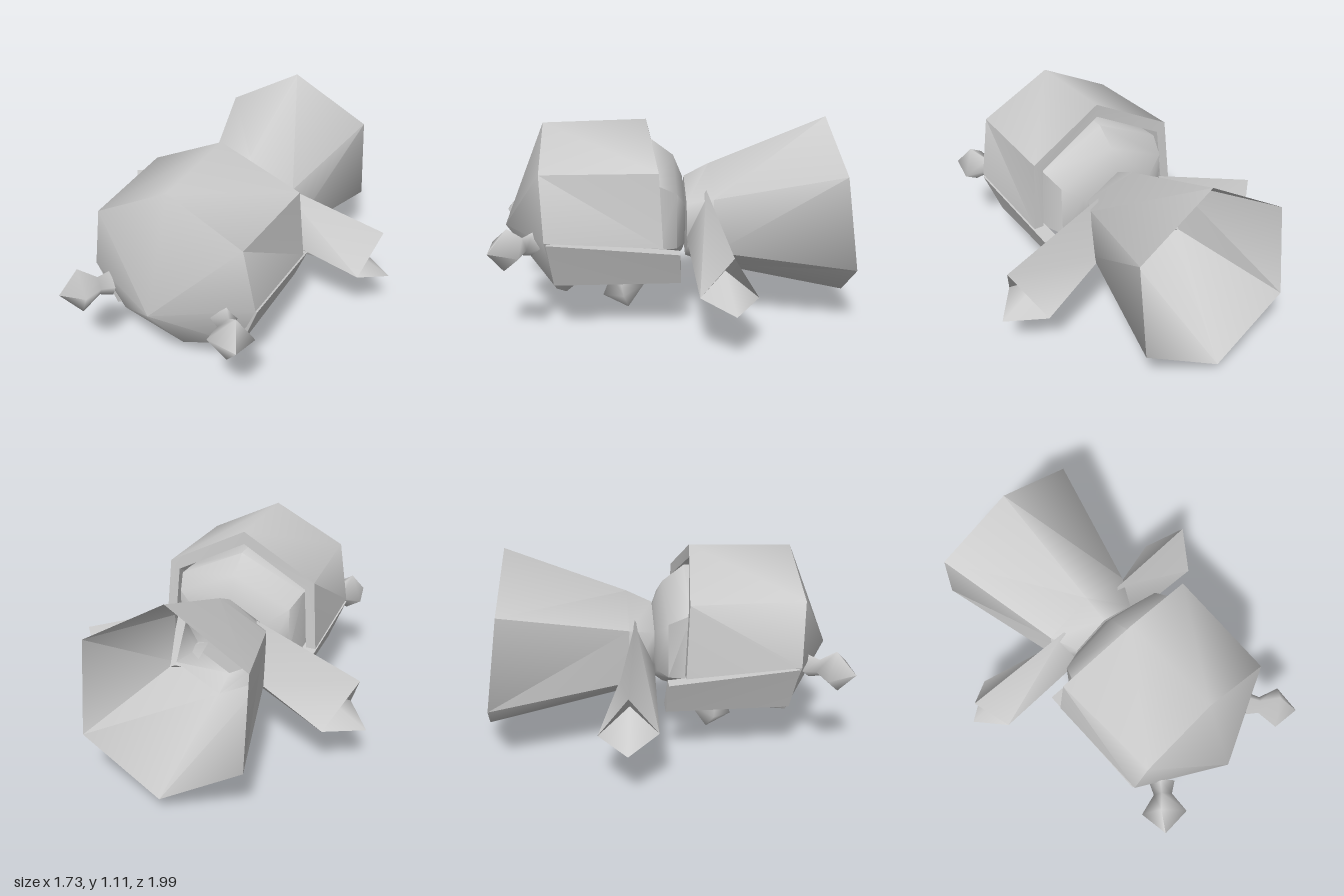
import * as THREE from 'three';
import { toCreasedNormals } from 'three/addons/utils/BufferGeometryUtils.js';

const grey = new THREE.MeshStandardMaterial({ color: 0xcccccc, side: THREE.DoubleSide });
grey.name = 'plain grey';

// Skins a list of cross-sections; tips (optional) close the ends with a fan
function loft(rings, { closed = true, startTip, endTip, crease = 1.0 } = {}) {
  const n = rings[0].length, pos = rings.flat(2), idx = [];
  const last = closed ? n : n - 1;
  for (let r = 0; r < rings.length - 1; r++) {
    for (let i = 0; i < last; i++) {
      const a = r * n + i, b = r * n + (i + 1) % n;
      idx.push(a, b, b + n, a, b + n, a + n);
    }
  }
  const fan = (tip, base, flip) => {
    const t = pos.length / 3;
    pos.push(...tip);
    for (let i = 0; i < last; i++) {
      const a = base + i, b = base + (i + 1) % n;
      idx.push(t, ...(flip ? [a, b] : [b, a]));
    }
  };
  if (startTip) fan(startTip, 0, false);
  if (endTip) fan(endTip, (rings.length - 1) * n, true);
  const g = new THREE.BufferGeometry();
  g.setAttribute('position', new THREE.Float32BufferAttribute(pos, 3));
  g.setIndex(idx);
  return toCreasedNormals(g, crease);
}

// Upright hexagon from its top, bottom and half width
function hex(zTop, zBottom, top, bottom, w) {
  const at = (x, t) => [x, top + (bottom - top) * t, zTop + (zBottom - zTop) * t];
  return [at(0, 0), at(-w, 0.25), at(-w, 0.75), at(0, 1), at(w, 0.75), at(w, 0.25)];
}

const mirrorX = (pts) => pts.map(([x, y, z]) => [-x, y, z]);

export function createModel() {
  const model = new THREE.Group();
  const add = (name, geometry) => {
    const mesh = new THREE.Mesh(geometry, grey);
    mesh.name = name;
    model.add(mesh);
    return mesh;
  };
  // Completes a half section running from the centre line to the +x side
  const across = (half) => [...mirrorX(half.slice(1)).reverse(), ...half];

  // Roofed shell with a thick rear rim
  const front = across([[0, 1.1, 0.72], [0.41, 0.89, 0.72], [0.47, 0.54, 0.7]]);
  const rear = across([[0, 1.115, 0.15], [0.435, 0.895, 0.1], [0.465, 0.5, 0.08]]);
  const inner = (pts) => pts.map(([x, y, z]) => [x * 0.88, 0.5 + (y - 0.5) * 0.88, z]);
  add('shell', loft([front, rear, inner(rear), inner(front)], { closed: false, crease: 0.95 }));

  // Faceted face bulging to a nose, with a folded-back chin rim
  const chin = [[0.47, 0.54, 0.7], [0.34, 0.25, 0.65], [0, 0.11, 0.62],
    [-0.34, 0.25, 0.65], [-0.47, 0.54, 0.7]];
  const face = [...front.slice(0, -1), ...chin.slice(0, -1)];
  add('face', loft([face], { startTip: [0, 0.52, 0.95] }));
  const chinBack = chin.map(([x, y, z]) => [x * 0.88, 0.54 + (y - 0.54) * 0.85, z - 0.08]);
  add('chinRim', loft([chin, chinBack], { closed: false }));

  // Inner body showing below and behind the shell
  add('body', loft([
    hex(0.66, 0.58, 0.96, 0.18, 0.37),
    hex(0.3, 0.3, 1.0, 0.18, 0.39),
    hex(0.12, 0.1, 1.0, 0.28, 0.37),
    hex(0, 0, 0.91, 0.31, 0.33),
    hex(-0.05, -0.05, 0.79, 0.35, 0.22),
  ], { startTip: [0, 0.55, 0.66], endTip: [0, 0.57, -0.07] }));

  // Hollow flared tail
  add('tail', loft([
    hex(-0.06, -0.07, 0.79, 0.32, 0.2),
    hex(-0.2, -0.22, 0.86, 0.265, 0.27),
    hex(-0.86, -1.0, 1.12, 0.09, 0.44),
  ], { startTip: [0, 0.55, -0.06] }));

  for (const side of [1, -1]) {
    const s = (pts) => (side > 0 ? pts : mirrorX(pts));
    const prefix = side > 0 ? 'left' : 'right';

    // Fins with a hollowed end
    add(prefix + 'Fin', loft([
      s([[0.2, 0.75, -0.17], [0.13, 0.5, -0.06], [0.2, 0.34, -0.15], [0.25, 0.42, -0.26]]),
      s([[0.81, 0.55, -0.25], [0.73, 0.32, -0.09], [0.865, 0.265, -0.26], [0.66, 0.29, -0.4]]),
    ], { endTip: s([[0.6, 0.42, -0.23]])[0] }));

    // Slanted flaps along the lower sides
    add(prefix + 'Flap', loft([
      s([[0.475, 0.53, 0.69], [0.38, 0.28, 0.66], [0.31, 0.31, 0.66], [0.4, 0.53, 0.68]]),
      s([[0.455, 0.46, -0.01], [0.38, 0.28, -0.02], [0.3, 0.3, -0.02], [0.37, 0.46, -0.01]]),
    ], { startTip: s([[0.39, 0.41, 0.68]])[0], endTip: s([[0.38, 0.38, -0.02]])[0], crease: 0.6 }));
  }

  // Pinched four-sided knobs: two feelers and one underneath
  const knob = new THREE.LatheGeometry(
    [[0.07, 0], [0.05, 0.07], [0.122, 0.17], [0, 0.28]].map(([r, y]) => new THREE.Vector2(r, y)), 4);
  const up = new THREE.Vector3(0, 1, 0);
  const addKnob = (name, base, dir, twist) => {
    const mesh = add(name, knob);
    mesh.position.set(...base);
    mesh.quaternion.setFromUnitVectors(up, new THREE.Vector3(...dir).normalize());
    mesh.rotateY(twist);
  };
  addKnob('leftFeeler', [0.33, 0.5, 0.77], [0.63, 0, 0.77], 0.5);
  addKnob('rightFeeler', [-0.33, 0.5, 0.77], [-0.63, 0, 0.77], -0.5);
  addKnob('bottomKnob', [0, 0.28, 0.33], [0, -0.96, -0.24], 0);

  return model;
}
